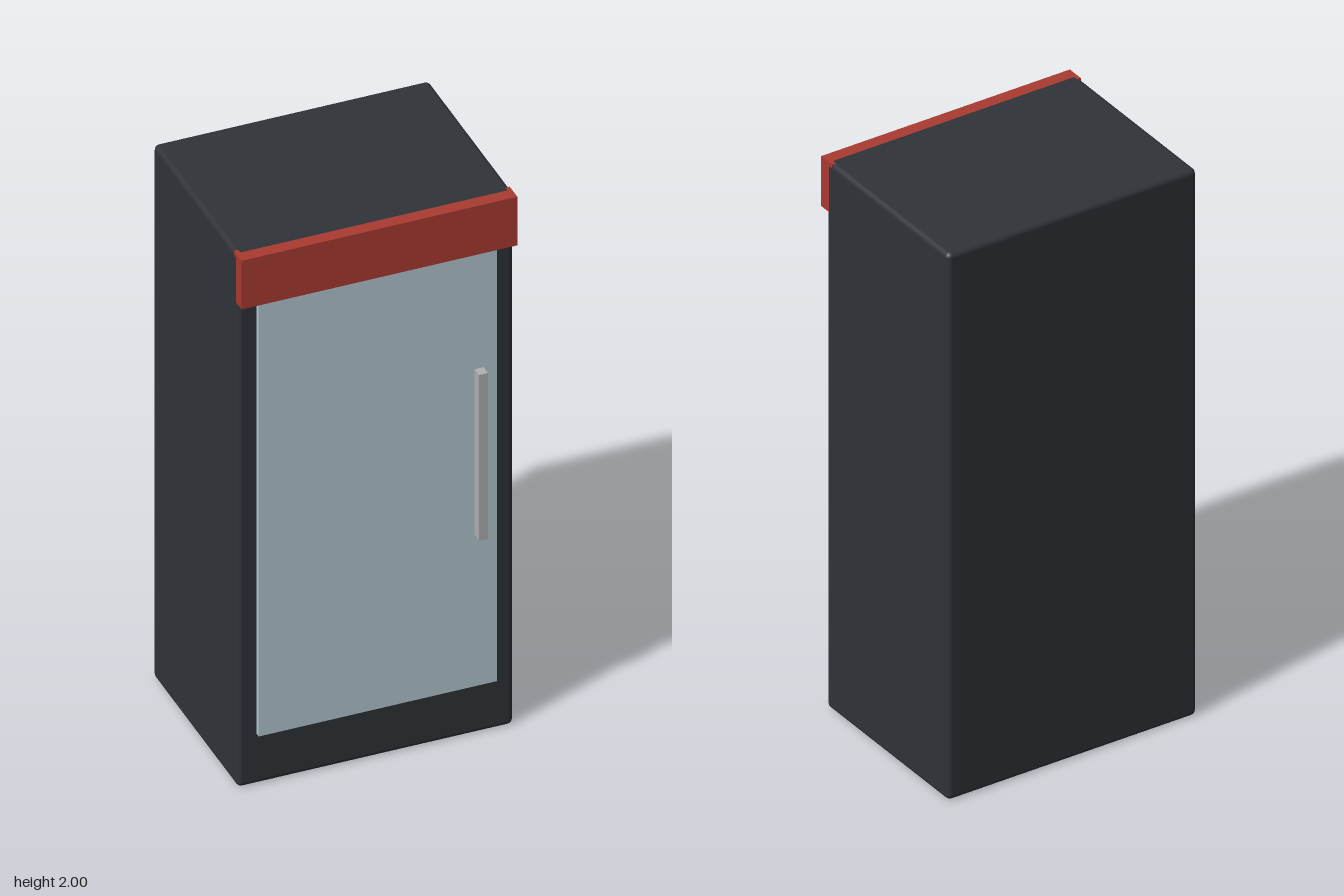
import * as THREE from 'three';
import { RoundedBoxGeometry } from 'three/addons/geometries/RoundedBoxGeometry.js';

export function createModel() {
  const model = new THREE.Group();
  model.name = 'displayFridge';

  // Adds a part spanning the given min/max corners; radius rounds its edges
  const addPart = (name, color, min, max, radius = 0) => {
    const [w, h, d] = max.map((v, i) => v - min[i]);
    const geometry = radius
      ? new RoundedBoxGeometry(w, h, d, 3, radius)
      : new THREE.BoxGeometry(w, h, d);
    const mesh = new THREE.Mesh(geometry, new THREE.MeshStandardMaterial({ color }));
    mesh.name = name;
    mesh.position.set(...max.map((v, i) => (v + min[i]) / 2));
    model.add(mesh);
  };

  // Cabinet with softly rounded edges
  addPart('cabinet', 0x2f3338, [-0.467, 0, -0.369], [0.467, 2, 0.316], 0.018);

  // Glass door on the front, running up to the header
  addPart('glassDoor', 0xb5cad3, [-0.403, 0.19, 0.3], [0.403, 1.83, 0.333]);

  // Header sign, a hair inside the cabinet so flush faces do not flicker
  addPart('headerSign', 0xaa3a30, [-0.4665, 1.817, 0.284], [0.4665, 1.9995, 0.346]);

  // Upright door handle
  addPart('doorHandle', 0xb0b0b4, [0.328, 0.758, 0.331], [0.358, 1.38, 0.369]);

  return model;
}
